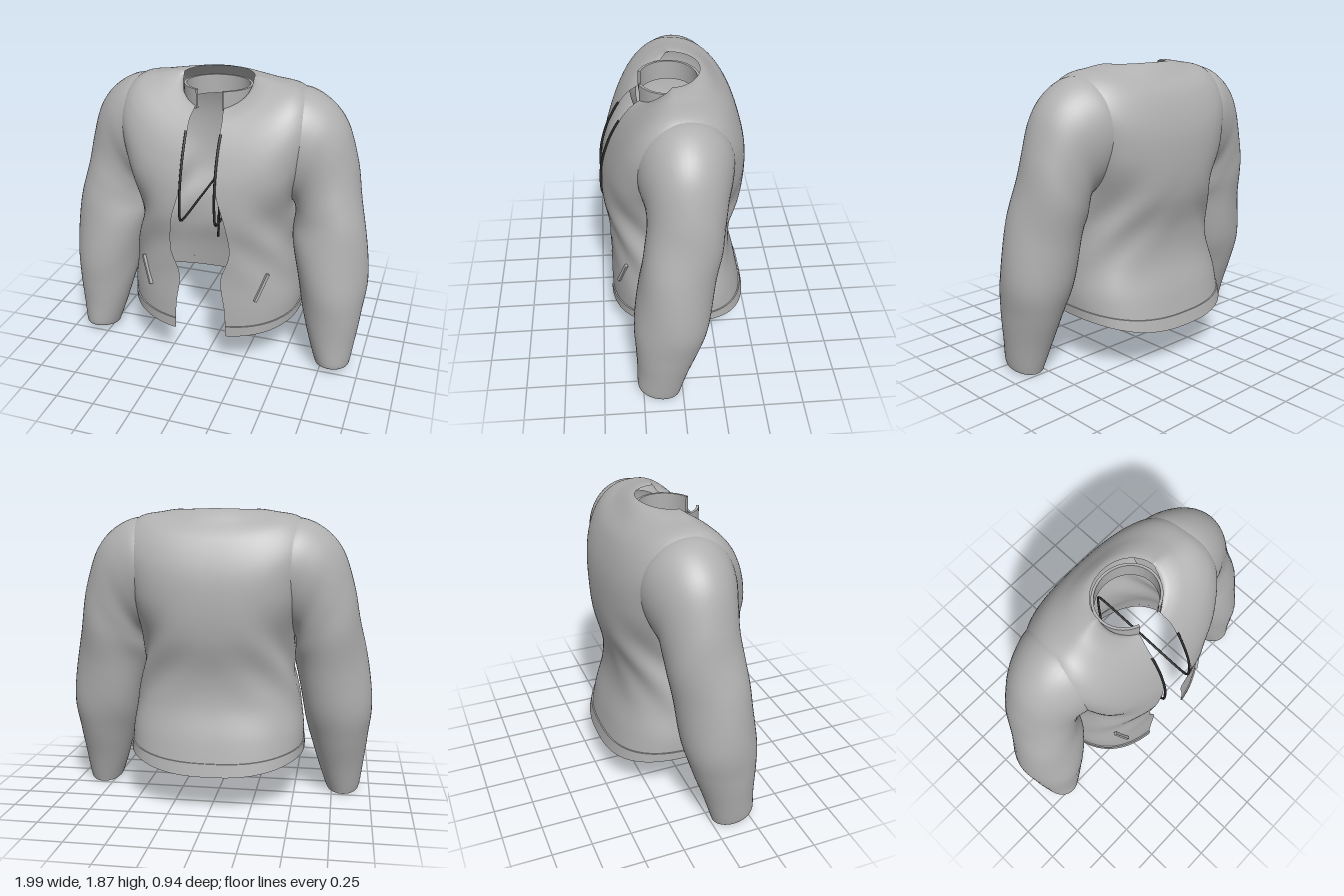
import * as THREE from 'three';
import { mergeVertices, toCreasedNormals } from 'three/addons/utils/BufferGeometryUtils.js';

const fabric = new THREE.MeshStandardMaterial({ color: 0xb0b0b0, side: THREE.DoubleSide });
fabric.name = 'grey fabric';
const metal = new THREE.MeshStandardMaterial({ color: 0x2b2b2b });
metal.name = 'dark zip';

// Torso rows, neck to hem: y front, y side, y back, half width, z front, z back, half gap
const TORSO = [
  [1.70, 1.86, 1.868, 0.22, 0.21, -0.16, 0.09],
  [1.685, 1.864, 1.85, 0.26, 0.235, -0.20, 0.09],
  [1.64, 1.85, 1.79, 0.36, 0.285, -0.26, 0.10],
  [1.55, 1.81, 1.68, 0.52, 0.345, -0.35, 0.10],
  [1.43, 1.66, 1.50, 0.62, 0.40, -0.415, 0.10],
  [1.27, 1.40, 1.30, 0.59, 0.445, -0.435, 0.11],
  [1.05, 1.10, 1.08, 0.49, 0.458, -0.42, 0.17],
  [0.85, 0.86, 0.85, 0.50, 0.43, -0.365, 0.19],
  [0.66, 0.66, 0.66, 0.53, 0.42, -0.365, 0.135],
  [0.45, 0.48, 0.45, 0.56, 0.425, -0.42, 0.16],
  [0.26, 0.33, 0.24, 0.56, 0.425, -0.465, 0.17],
];

// Sleeve rows, shoulder to cuff: outer x, y, inner x, y, z front, z back, tilt
const SLEEVE = [
  [0.38, 1.78, 0.36, 1.22, 0.21, -0.30, 0],
  [0.53, 1.81, 0.40, 1.18, 0.25, -0.32, 0],
  [0.68, 1.74, 0.45, 1.12, 0.235, -0.30, 0],
  [0.79, 1.61, 0.49, 1.08, 0.205, -0.27, 0],
  [0.86, 1.40, 0.50, 1.03, 0.20, -0.255, 0],
  [0.905, 1.20, 0.50, 0.95, 0.22, -0.24, 0],
  [0.955, 0.95, 0.51, 0.82, 0.26, -0.20, 0],
  [0.995, 0.62, 0.56, 0.56, 0.29, -0.17, 0],
  [0.98, 0.40, 0.605, 0.38, 0.29, -0.11, 0],
  [0.955, 0.20, 0.655, 0.20, 0.285, -0.04, 0.01],
  [0.935, 0.05, 0.705, 0.05, 0.285, 0.01, 0.025],
  [0.92, 0.028, 0.72, 0.028, 0.27, 0.02, 0.025],
  [0.90, 0.07, 0.74, 0.07, 0.25, 0.04, 0.025],
];

// Smooth interpolation through the rows of a table, t from 0 to 1
function sample(rows, t) {
  const f = t * (rows.length - 1);
  const i = Math.min(Math.floor(f), rows.length - 2);
  const k = f - i;
  const at = (n) => rows[Math.max(0, Math.min(rows.length - 1, n))];
  return rows[i].map((b, c) => {
    const a = at(i - 1)[c], d = at(i + 1)[c], e = at(i + 2)[c];
    return b + 0.5 * k * (d - a + k * (2 * a - 5 * b + 4 * d - e + k * (3 * (b - d) + e - a)));
  });
}

// Grid surface from a point function of u and v, each 0 to 1
function surface(fn, nu, nv) {
  const pos = [], index = [];
  for (let j = 0; j <= nv; j++)
    for (let i = 0; i <= nu; i++) pos.push(...fn(i / nu, j / nv));
  for (let j = 0; j < nv; j++)
    for (let i = 0; i < nu; i++) {
      const a = j * (nu + 1) + i, b = a + nu + 1;
      index.push(a, b, a + 1, b, b + 1, a + 1);
    }
  const g = new THREE.BufferGeometry();
  g.setAttribute('position', new THREE.Float32BufferAttribute(pos, 3));
  g.setIndex(index);
  const merged = mergeVertices(g, 1e-5);
  merged.computeVertexNormals();
  return merged;
}

// Point on the torso: u runs from one front edge round the back to the other
function torsoPoint(u, t, offset = 0) {
  const [yf, ys, yb, w, zf, zb, gap] = sample(TORSO, t);
  const s = u * 2 - 1;
  const top = Math.max(0, 1 - 3 * t);
  const p = 0.8 + 0.2 * top;
  const a0 = Math.asin(Math.pow(gap / w, 1 / p));
  const a = Math.PI - (Math.PI - a0) * Math.abs(s);
  const c = Math.cos(a), zc = (zf + zb) / 2, half = (zf - zb) / 2;
  // the neckline drops in a rounded scoop, lower rows more evenly
  const y = c > 0 ? ys + (yf - ys) * Math.pow(c, 2 - 1.3 * top) : ys + (yb - ys) * c * c;
  // soft folds round the waist and under the chest
  const mask = Math.exp(-Math.pow((y - 0.95) / 0.28, 2)) * Math.sin(a);
  const k = 1 + 0.03 * mask * Math.sin(7 * a + 16 * y * (c > 0 ? 1 : -1));
  const x = Math.pow(Math.max(0, Math.sin(a)), p) * (w + offset) * k;
  const z = zc + Math.sign(c) * Math.pow(Math.abs(c), p) * (half + offset) * k;
  return [-Math.sign(s) * x, y, z];
}

function sleevePoint(u, t) {
  const [ox, oy, ix, iy, zf, zb, tilt] = sample(SLEEVE, t);
  const a = (u % 1) * Math.PI * 2;
  // gentle drag folds near the elbow
  const fold = 1 + 0.025 * Math.sin(3 * a + 26 * t) * Math.exp(-Math.pow((t - 0.5) / 0.17, 2));
  const c = Math.cos(a) * 0.5 * fold;
  return [(ox + ix) / 2 + (ox - ix) * c, (oy + iy) / 2 + (oy - iy) * c + Math.sin(a) * tilt,
    (zf + zb) / 2 + Math.sin(a) * (zf - zb) / 2 * fold];
}

export function createModel() {
  const model = new THREE.Group();
  model.name = 'jacket';
  const add = (name, geometry, material = fabric) => {
    const mesh = new THREE.Mesh(geometry, material);
    mesh.name = name;
    model.add(mesh);
    return mesh;
  };

  add('body', surface((u, v) => torsoPoint(u, v), 120, 80));

  // Raised band along the hem
  const band = [[0.955, 0], [0.955, 0.008], [1, 0.008], [1, 0]];
  add('hemBand', toCreasedNormals(surface((u, v) => torsoPoint(u, ...band[Math.round(v * 3)]), 90, 3), 0.7));

  // Standing collar, open at the front
  const collar = [[0.004, 1.69], [0.004, 1.81], [-0.012, 1.81], [-0.012, 1.69]];
  add('collar', toCreasedNormals(surface((u, v) => {
    const [d, y] = collar[Math.round(v * 3)];
    const a = 0.4 + u * (Math.PI * 2 - 0.8);
    return [Math.sin(a) * (0.208 + d), y, 0.028 + Math.cos(a) * (0.187 + d)];
  }, 60, 3), 0.7));

  for (const side of [1, -1]) {
    const name = side > 0 ? 'left' : 'right';

    add(name + 'Sleeve', surface((u, v) => {
      const [x, y, z] = sleevePoint(side > 0 ? u : 1 - u, v);
      return [side * x, y, z];
    }, 48, 84));

    // Slanted pocket welt
    const top = new THREE.Vector3(side * 0.415, 0.71, 0.325);
    const low = new THREE.Vector3(side * 0.35, 0.53, 0.375);
    const up = top.clone().sub(low);
    const across = up.clone().normalize().cross(new THREE.Vector3(side * 0.55, 0, 0.83)).normalize();
    const out = across.clone().cross(up).normalize();
    const welt = add(name + 'PocketWelt', new THREE.BoxGeometry(0.018, up.length(), 0.02));
    welt.quaternion.setFromRotationMatrix(
      new THREE.Matrix4().makeBasis(across, up.clone().normalize(), out));
    welt.position.copy(top).add(low).multiplyScalar(0.5);

    // Zip tape: down the chest edge, back through the inside and down the lining
    const path = new THREE.CatmullRomCurve3([
      [0.107, 1.59, 0.325], [0.106, 1.55, 0.35], [0.106, 1.43, 0.406], [0.108, 1.25, 0.452],
      [0.111, 1.07, 0.45], [0.111, 1.05, 0.43], [0.112, 1.05, 0.04],
      [0.112, 1.05, -0.32], [0.113, 1.03, -0.335], [0.124, 0.56, -0.335],
    ].map(([x, y, z]) => new THREE.Vector3(side * x, y, z)), false, 'centripetal');
    add(name + 'Zip', new THREE.TubeGeometry(path, 100, 0.008, 6), metal);
  }
  return model;
}
